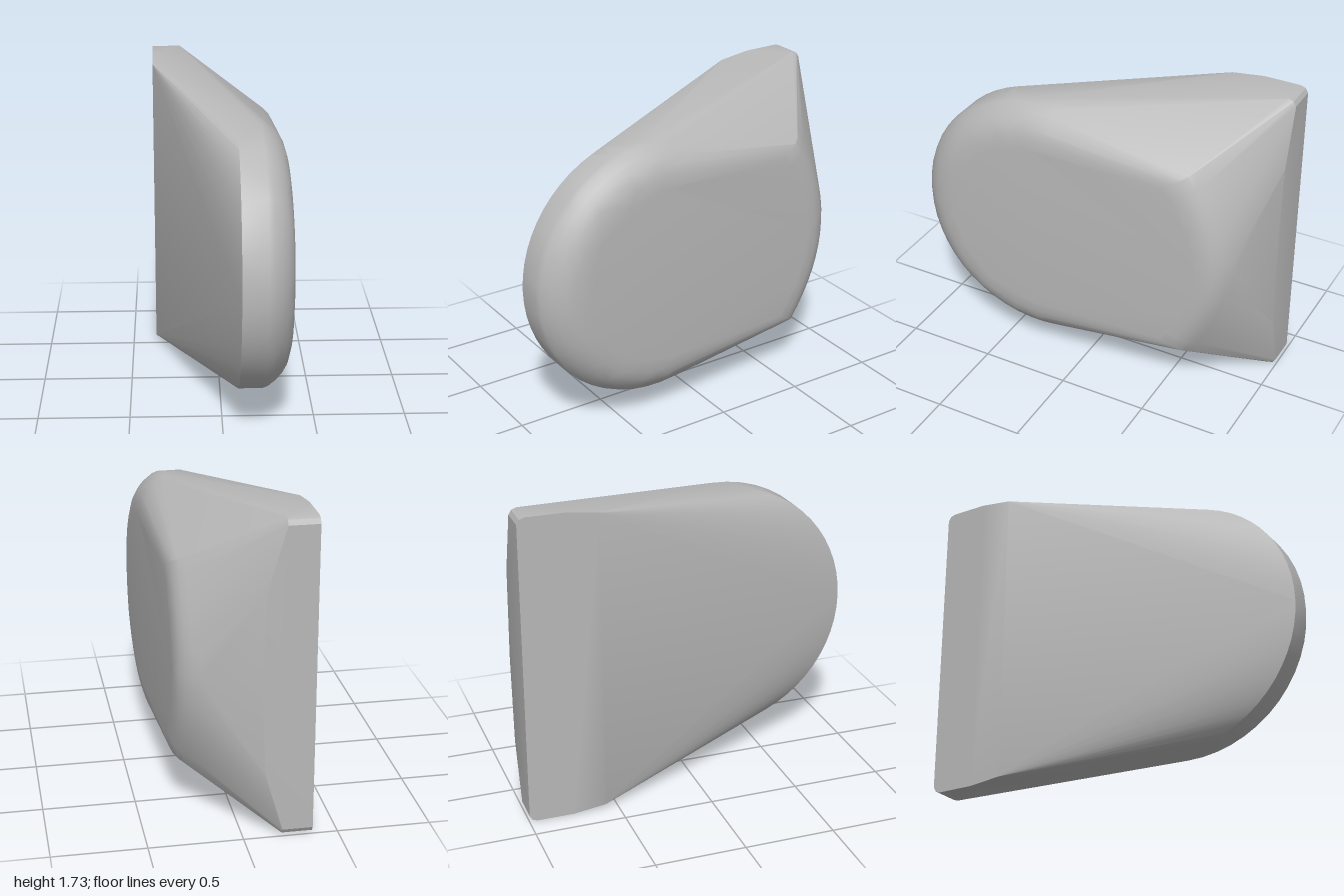
import * as THREE from 'three';
import { ConvexGeometry } from 'three/addons/geometries/ConvexGeometry.js';
import { mergeVertices, toCreasedNormals } from 'three/addons/utils/BufferGeometryUtils.js';

const MID = 0.865; // half height, the body mirrors about it
const ARC_Z = 0.268; // centre of the rounded nose
const RADIUS = 0.732;

export function createModel() {
  const group = new THREE.Group();
  const grey = new THREE.MeshStandardMaterial({ color: 0xb8b8b8 });
  grey.name = 'plain grey';

  const points = [];
  const add = (x, y, z) => points.push(new THREE.Vector3(x, y, z));
  const addBoth = (x, h, z) => { add(x, MID + h, z); add(x, MID - h, z); };

  // nose rim where the slanted underside meets the rounded side
  for (let i = -12; i <= 12; i++) {
    const a = i * 6 * Math.PI / 180;
    add(0.085, MID + RADIUS * Math.sin(a), ARC_Z + RADIUS * Math.cos(a));
  }

  // rounded edge and flat cheek: [x, inset from the outline]
  const rings = [[0.22, 0], [0.25, 0.012], [0.29, 0.042], [0.32, 0.075], [0.345, 0.115], [0.36, 0.165], [0.367, 0.23]];
  rings.forEach(([x, inset], k) => {
    const r = RADIUS - inset;
    const place = (h, z) => add(x - 0.03 * Math.max(0, 0.77 - z), MID + h, z);
    for (let i = -14; i <= 14; i++) {
      const a = i * 7 * Math.PI / 180;
      place(r * Math.sin(a), ARC_Z + r * Math.cos(a));
    }
    // bowed rear end of the cheek
    if (k > 0) {
      const h = 0.60 - inset * 0.5;
      const back = -0.888 + inset * 0.8;
      for (let i = -8; i <= 8; i++) {
        const t = i / 8;
        place(h * t, back + 0.2 * t * t);
      }
    }
  });

  // upright back plate with rounded corners
  for (const x of [-0.367, -0.205]) {
    addBoth(x, 0.865, -0.955);
    addBoth(x, 0.855, -0.983);
    addBoth(x, 0.83, -0.998);
  }
  addBoth(-0.367, 0.865, -0.75);
  addBoth(-0.364, 0.843, -0.57);
  addBoth(-0.11, 0.5, -1);
  add(-0.085, MID, -1);

  const hull = new ConvexGeometry(points);
  hull.deleteAttribute('normal');
  const body = new THREE.Mesh(toCreasedNormals(mergeVertices(hull, 1e-4), 0.5), grey);
  body.name = 'body';
  group.add(body);
  return group;
}
